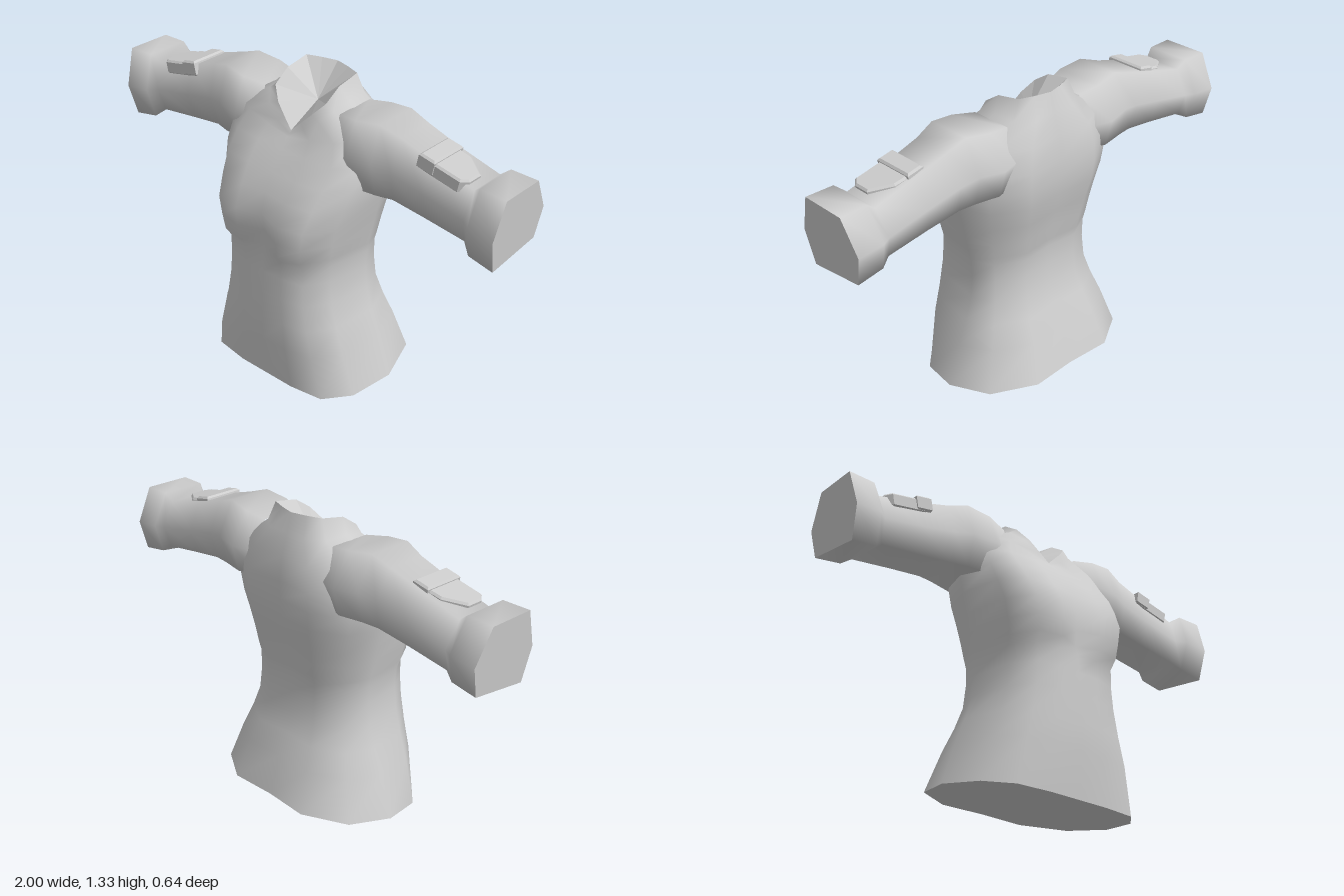
import * as THREE from 'three';

const cloth = new THREE.MeshStandardMaterial({ color: 0xcccccc });
cloth.name = 'grey cloth';

function named(geometry, name) {
  const mesh = new THREE.Mesh(geometry, cloth);
  mesh.name = name;
  return mesh;
}

// Smooth skin through closed rings of equal point count
function loft(rings) {
  const n = rings[0].length, index = [];
  for (let i = 0; i < rings.length - 1; i++) {
    for (let j = 0; j < n; j++) {
      const a = i * n + j, b = i * n + (j + 1) % n;
      index.push(a, b, b + n, a, b + n, a + n);
    }
  }
  const g = new THREE.BufferGeometry();
  g.setAttribute('position', new THREE.Float32BufferAttribute(rings.flat(2), 3));
  g.setIndex(index);
  g.computeVertexNormals();
  return g;
}

// Faceted fan closing a ring around a centre point
function fan(ring, centre) {
  const pos = [];
  ring.forEach((p, j) => pos.push(...centre, ...p, ...ring[(j + 1) % ring.length]));
  const g = new THREE.BufferGeometry();
  g.setAttribute('position', new THREE.Float32BufferAttribute(pos, 3));
  g.computeVertexNormals();
  return g;
}

const average = ring => [0, 1, 2].map(k => ring.reduce((s, p) => s + p[k], 0) / ring.length);

// Full ring from a half running front centre -> left side -> back centre
const mirrorRing = half => [...half, ...half.slice(1, -1).reverse().map(([x, y, z]) => [-x, y, z])];

// Torso ring: height, half width, centre front z, front z, back z, tilt, front dip
function torsoRing([y, w, f0, f, b, tilt = 0, dip = 0]) {
  const half = [
    [0, f0, 1], [0.33 * w, f, 0.7], [0.68 * w, 0.93 * f, 0.3], [0.9 * w, 0.58 * f, 0],
    [w, -0.02, 0], [0.87 * w, 0.66 * b, 0], [0.47 * w, b, 0], [0, b + 0.012, 0],
  ];
  return mirrorRing(half.map(([x, z, d]) => [x, y - tilt * z - dip * d, z]));
}

// Sleeve ring (six sided): x, slant, top y, bottom y, front z, back z
function sleeveRing([x, slant, yt, yb, zf, zb], side) {
  const h = yt - yb, d = zf - zb;
  const ring = [
    [zb + 0.23 * d, 1], [zf - 0.15 * d, 1], [zf, 0.47],
    [zf - 0.11 * d, 0], [zb + 0.09 * d, 0.11], [zb, 0.53],
  ].map(([z, t]) => [side * (x - slant * (1 - t)), yb + t * h, z]);
  return side > 0 ? ring : ring.reverse();
}

// Tab plate from an x/z outline, top face at y = 0
function plate(outline, depth, side) {
  const shape = new THREE.Shape(outline.map(([x, z]) => new THREE.Vector2(side * x, z)));
  const g = new THREE.ExtrudeGeometry(shape, {
    depth, bevelEnabled: true, bevelSize: 0.008, bevelThickness: 0.008, bevelOffset: -0.008, bevelSegments: 1,
  });
  return g.rotateX(Math.PI / 2);
}

export function createModel() {
  const model = new THREE.Group();
  model.name = 'shirt';

  // Body, from the hem up to the shoulders
  const body = [
    [0.043, 0.44, 0.28, 0.28, -0.32, 0.147],
    [0.23, 0.378, 0.30, 0.295, -0.262, 0.1],
    [0.34, 0.335, 0.298, 0.293, -0.22, 0.06],
    [0.44, 0.305, 0.295, 0.29, -0.19],
    [0.54, 0.296, 0.29, 0.286, -0.18],
    [0.62, 0.30, 0.285, 0.285, -0.178],
    [0.66, 0.308, 0.272, 0.312, -0.188],
    [0.73, 0.322, 0.275, 0.32, -0.2],
    [0.81, 0.34, 0.283, 0.322, -0.217],
    [0.90, 0.362, 0.262, 0.278, -0.24],
    [0.98, 0.378, 0.225, 0.23, -0.247],
    [1.06, 0.375, 0.168, 0.17, -0.247],
    [1.16, 0.335, 0.13, 0.125, -0.232, 0, 0.06],
  ].map(torsoRing);

  // Collar, with a V at the front
  const collarBase = mirrorRing([
    [0, 1.11, 0.12], [0.07, 1.145, 0.113], [0.13, 1.195, 0.095], [0.17, 1.235, 0.05],
    [0.18, 1.25, -0.04], [0.17, 1.25, -0.14], [0.1, 1.25, -0.195], [0, 1.25, -0.19],
  ]);
  const collarTop = mirrorRing([
    [0, 1.12, 0.11], [0.045, 1.165, 0.1], [0.09, 1.21, 0.088], [0.135, 1.26, 0.055],
    [0.137, 1.31, -0.02], [0.135, 1.33, -0.13], [0.07, 1.33, -0.153], [0, 1.33, -0.17],
  ]);
  model.add(named(loft([...body, collarBase, collarTop]), 'body'));
  model.add(named(fan(collarTop, [0, 1.2, -0.05]), 'neckOpening'));
  const hem = [...body[0]].reverse();
  model.add(named(fan(hem, average(hem)), 'hemUnderside'));

  // Sleeves, flared at the cuffs, with a shoulder tab on each
  const sleeveSections = [
    [0.20, 0, 1.235, 0.98, 0.09, -0.2],
    [0.30, 0, 1.25, 0.965, 0.125, -0.228],
    [0.41, 0, 1.265, 0.965, 0.108, -0.205],
    [0.50, 0.02, 1.235, 0.965, 0.085, -0.19],
    [0.65, 0.02, 1.19, 0.945, 0.08, -0.182],
    [0.84, 0.02, 1.14, 0.92, 0.08, -0.182],
    [0.88, 0.02, 1.172, 0.885, 0.113, -0.203],
    [1.0, 0.025, 1.17, 0.865, 0.12, -0.205],
  ];
  const tabOutline = [[0.03, -0.105], [0.13, -0.1], [0.215, -0.04], [0.215, 0.03], [0.19, 0.06], [0.03, 0.06]];
  const loopOutline = [[0, -0.112], [0.075, -0.112], [0.075, 0.066], [0, 0.066]];

  for (const [side, label] of [[1, 'left'], [-1, 'right']]) {
    const rings = sleeveSections.map(s => sleeveRing(s, side));
    const end = rings[rings.length - 1];
    model.add(named(loft(rings), label + 'Sleeve'));
    model.add(named(fan(end, average(end)), label + 'CuffEnd'));

    const tab = new THREE.Group();
    tab.name = label + 'ShoulderTab';
    const strap = named(plate(tabOutline, 0.045, side), 'strap');
    const loop = named(plate(loopOutline, 0.05, side), 'strapLoop');
    loop.position.y = 0.012;
    tab.add(strap, loop);
    tab.position.set(side * 0.6, 1.2, 0);
    tab.rotation.z = -side * 0.2;
    model.add(tab);
  }
  return model;
}
